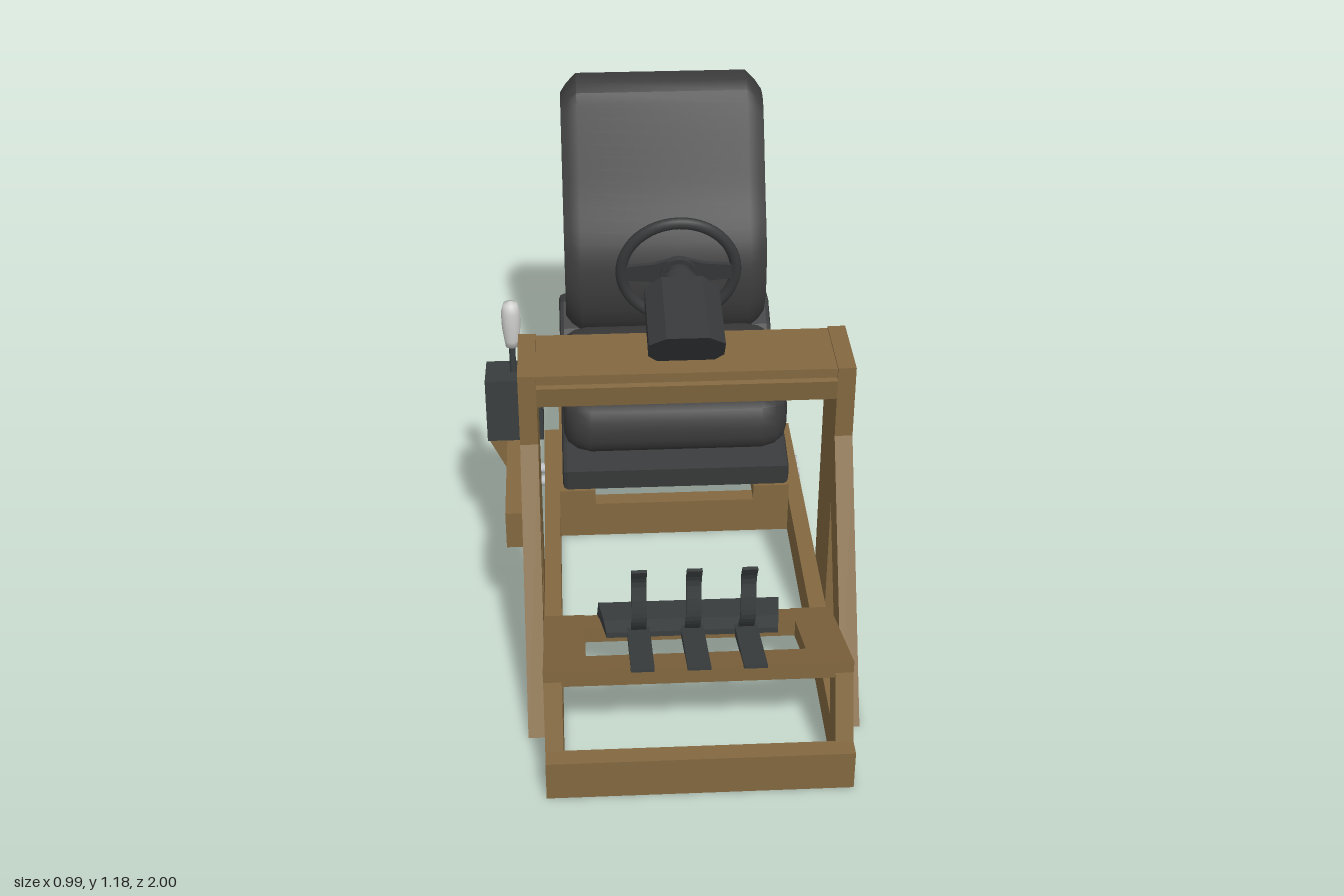
import * as THREE from 'three';
import { toCreasedNormals } from 'three/addons/utils/BufferGeometryUtils.js';

const mat = (name, color) => {
  const m = new THREE.MeshStandardMaterial({ color });
  m.name = name;
  return m;
};

export function createModel() {
  const wood = mat('wood', 0x836840);
  const fabric = mat('seat fabric', 0x3b3b3b);
  const plastic = mat('dark plastic', 0x38393a);
  const metal = mat('dark metal', 0x3b3f40);
  const knobMat = mat('pale knob', 0xcfcfcd);
  const steel = mat('bolt steel', 0xb8bcc0);
  const root = new THREE.Group();
  const CX = 0.05; // centre line of the rig

  const add = (name, geo, m, parent = root) => {
    const mesh = new THREE.Mesh(geo, m);
    mesh.name = name;
    parent.add(mesh);
    return mesh;
  };
  // box from its limits
  const box = (name, m, x0, x1, y0, y1, z0, z1) => {
    const mesh = add(name, new THREE.BoxGeometry(x1 - x0, y1 - y0, z1 - z0), m);
    mesh.position.set((x0 + x1) / 2, (y0 + y1) / 2, (z0 + z1) / 2);
    return mesh;
  };
  // side profile of [z, y] points, extruded along x
  const prismGeo = (pts, x0, x1, bevel = 0) => {
    const shape = new THREE.Shape(pts.map(([z, y]) => new THREE.Vector2(-z, y)));
    const geo = new THREE.ExtrudeGeometry(shape, {
      depth: x1 - x0 - 2 * bevel, bevelEnabled: bevel > 0, bevelSize: bevel,
      bevelThickness: bevel, bevelOffset: -bevel, bevelSegments: 2,
    });
    return geo.rotateY(Math.PI / 2).translate(x0 + bevel, 0, 0);
  };
  const prism = (name, m, pts, x0, x1, bevel) => add(name, prismGeo(pts, x0, x1, bevel), m);
  // padded shape: smooth [z, y] loop, scaled about its centre at each [x, scale] section
  const padding = (name, pts, sections, n = 48) => {
    const loop = new THREE.CatmullRomCurve3(
      pts.map(([z, y]) => new THREE.Vector3(0, y, z)), true, 'centripetal').getSpacedPoints(n).slice(0, n);
    const c = loop.reduce((s, p) => s.add(p), new THREE.Vector3()).divideScalar(n);
    const pos = [], idx = [];
    sections.forEach(([x, s]) => loop.forEach((p) =>
      pos.push(x, c.y + (p.y - c.y) * s, c.z + (p.z - c.z) * s)));
    for (let i = 0; i < sections.length - 1; i++) {
      for (let j = 0; j < n; j++) {
        const a = i * n + j, b = i * n + (j + 1) % n;
        idx.push(a, a + n, b, b, a + n, b + n);
      }
    }
    // keep the faces pointing outward whichever way the loop runs
    const area = loop.reduce((s, p, i) => {
      const q = loop[(i + 1) % n];
      return s + p.y * q.z - q.y * p.z;
    }, 0);
    if (area > 0) for (let i = 0; i < idx.length; i += 3) [idx[i + 1], idx[i + 2]] = [idx[i + 2], idx[i + 1]];
    const geo = new THREE.BufferGeometry();
    geo.setAttribute('position', new THREE.Float32BufferAttribute(pos, 3));
    geo.setIndex(idx);
    return add(name, toCreasedNormals(geo, 0.6), fabric);
  };
  // run fn for both sides with limits mirrored about the centre line
  const bothSides = (x0, x1, fn) => {
    fn(CX - x1, CX - x0, 'right', -1);
    fn(CX + x0, CX + x1, 'left', 1);
  };

  // base frame
  bothSides(0.348, 0.395, (a, b, s) => box(s + 'Rail', wood, a, b, 0, 0.115, -0.565, 0.95));
  box('frontBoard', wood, -0.345, 0.445, 0, 0.115, 0.95, 1);

  // seat frame inside the rails
  bothSides(0.3, 0.348, (a, b, s) => box(s + 'SeatRail', wood, a, b, 0, 0.115, -0.775, -0.14));
  box('seatFrameRear', wood, -0.298, 0.398, 0, 0.115, -0.825, -0.775);
  box('seatFrameFront', wood, -0.25, 0.35, 0, 0.115, -0.19, -0.14);
  bothSides(0.24, 0.348, (a, b, s) => box(s + 'SeatPlank', wood, a, b, 0.115, 0.165, -0.825, -0.14));

  // bolts joining the two frames
  bothSides(0.395, 0.41, (a, b, s) => {
    for (const z of [-0.365, -0.435]) {
      const bolt = add(s + 'Bolt', new THREE.CylinderGeometry(0.017, 0.017, b - a, 12), steel);
      bolt.rotation.z = Math.PI / 2;
      bolt.position.set((a + b) / 2, 0.055, z);
    }
  });

  // wheel stand: double uprights, diagonal braces and cross boards
  bothSides(0.395, 0.443, (a, b, s) => {
    box(s + 'UprightFront', wood, a, b, 0, 0.885, 0.265, 0.377);
    box(s + 'UprightRear', wood, a, b, 0, 0.885, 0.153, 0.265);
    prism(s + 'Brace', wood, [[0.77, 0], [0.645, 0], [0.377, 0.46], [0.377, 0.675]], a, b);
  });
  box('wheelDeck', wood, -0.345, 0.445, 0.838, 0.88, 0.155, 0.37);
  prism('wheelDeckFront', wood, [[0.33, 0.79], [0.375, 0.79], [0.385, 0.85], [0.34, 0.86]], -0.345, 0.445);

  // sloping pedal deck on two legs
  const deckY = (z) => 0.325 - (0.89 - z) * 0.37;
  const slab = (z0, z1) => [[z0, deckY(z0)], [z1, deckY(z1)], [z1 + 0.015, deckY(z1) - 0.05], [z0 - 0.015, deckY(z0) - 0.05]];
  const beam = (z0, z1) => [[z0, deckY(z0)], [z1, deckY(z1)], [z1, deckY(z1) - 0.05], [z0, deckY(z0) - 0.05]];
  prism('pedalDeckFront', wood, beam(0.89, 0.785), -0.345, 0.445);
  prism('pedalDeckRear', wood, beam(0.57, 0.47), -0.235, 0.335);
  bothSides(0.285, 0.395, (a, b, s) => prism(s + 'PedalDeckSide', wood, slab(0.80, 0.465), a, b));
  bothSides(0.348, 0.395, (a, b, s) =>
    prism(s + 'PedalLeg', wood, [[0.955, 0.115], [0.85, 0.115], [0.80, 0.25], [0.89, 0.29]], a, b));

  // pedal base, narrower toward the front
  const baseGeo = prismGeo([[0.655, 0.255], [0.6, 0.253], [0.49, 0.228], [0.46, 0.165], [0.475, 0.16], [0.51, 0.19], [0.655, 0.238]], -0.25, 0.25);
  const bp = baseGeo.attributes.position;
  for (let i = 0; i < bp.count; i++) bp.setX(i, CX + bp.getX(i) * (1 - (bp.getZ(i) - 0.46) * 0.45));
  baseGeo.computeVertexNormals();
  add('pedalBase', baseGeo, metal);

  // three pedals: heel strip and curved arm
  const armLine = new THREE.CatmullRomCurve3([[0.62, 0.235], [0.655, 0.27], [0.685, 0.32], [0.687, 0.38], [0.68, 0.44], [0.71, 0.495]]
    .map(([z, y]) => new THREE.Vector3(0, y, z))).getPoints(16);
  const arm = [...armLine.map((p) => [p.z + 0.006, p.y]), ...armLine.reverse().map((p) => [p.z - 0.007, p.y])];
  for (const x of [-0.093, 0.05, 0.193]) {
    prism('heelStrip', metal, [[0.905, 0.337], [0.905, 0.327], [0.62, 0.22], [0.62, 0.25]], x - 0.03, x + 0.03);
    prism('pedalArm', metal, arm, x - 0.02, x + 0.02);
  }

  // seat: slides, pan, shell, cushion and backrest
  bothSides(0.22, 0.27, (a, b, s) =>
    prism(s + 'Slide', metal, [[-0.17, 0.165], [-0.19, 0.2], [-0.76, 0.2], [-0.79, 0.165]], a, b));
  box('seatPan', metal, -0.2, 0.3, 0.175, 0.23, -0.72, -0.2);
  prism('seatShell', plastic, [[-0.07, 0.22], [-0.065, 0.285], [-0.18, 0.315], [-0.5, 0.335], [-0.6, 0.4], [-0.65, 0.44],
    [-0.74, 0.49], [-0.8, 0.485], [-0.82, 0.43], [-0.765, 0.25], [-0.72, 0.2], [-0.34, 0.2]], -0.287, 0.387, 0.014);
  padding('cushion', [[-0.03, 0.44], [-0.055, 0.5], [-0.14, 0.525], [-0.26, 0.537], [-0.47, 0.505], [-0.64, 0.45], [-0.7, 0.38],
    [-0.5, 0.33], [-0.28, 0.33], [-0.08, 0.35], [-0.04, 0.38]],
  [[-0.28, 0], [-0.28, 0.72], [-0.268, 0.85], [-0.24, 0.95], [-0.2, 1], [0.3, 1], [0.34, 0.95], [0.368, 0.85], [0.38, 0.72], [0.38, 0]]);
  padding('backrest', [[-0.66, 0.42], [-0.598, 0.53], [-0.61, 0.7], [-0.72, 0.89], [-0.85, 1.12], [-0.88, 1.16], [-0.93, 1.175],
    [-0.99, 1.165], [-0.998, 1.11], [-0.97, 0.89], [-0.88, 0.64], [-0.81, 0.45], [-0.75, 0.4]],
  [[-0.265, 0], [-0.265, 0.86], [-0.245, 0.93], [-0.215, 1], [0.315, 1], [0.345, 0.93], [0.365, 0.86], [0.365, 0]]);

  // steering motor housing
  const housing = new THREE.Shape([[-0.1, 0.05], [-0.1, 0.11], [-0.055, 0.145], [0.055, 0.145], [0.1, 0.11], [0.1, 0.05], [0.07, 0.012], [-0.07, 0.012]]
    .map(([x, y]) => new THREE.Vector2(x, y)));
  const hGeo = new THREE.ExtrudeGeometry(housing, { depth: 0.27, bevelEnabled: false });
  const hp = hGeo.attributes.position;
  // front end leans forward at the top
  for (let i = 0; i < hp.count; i++) if (hp.getZ(i) > 0.2) hp.setZ(i, 0.19 + hp.getY(i) * 0.5);
  hGeo.computeVertexNormals();
  const motor = add('motorHousing', hGeo, plastic);
  motor.rotation.x = 0.16;
  motor.position.set(CX, 0.892, 0.105);

  // steering wheel
  const wheel = new THREE.Group();
  wheel.name = 'steeringWheel';
  wheel.position.set(CX, 0.975, -0.02);
  wheel.rotation.x = 0.15;
  root.add(wheel);
  add('rim', new THREE.TorusGeometry(0.158, 0.016, 10, 48), plastic, wheel);
  const cyl = (name, r0, r1, z0, z1) => {
    const c = add(name, new THREE.CylinderGeometry(r1, r0, z1 - z0, 24), plastic, wheel);
    c.rotation.x = Math.PI / 2;
    c.position.z = (z0 + z1) / 2;
  };
  cyl('hub', 0.05, 0.05, 0, 0.02);
  cyl('hubCollar', 0.036, 0.045, 0.02, 0.06);
  cyl('shaft', 0.052, 0.052, 0.06, 0.1);
  cyl('shaftRoot', 0.04, 0.04, 0.1, 0.15);
  for (const angle of [0, Math.PI, -Math.PI / 2]) {
    const spoke = new THREE.Shape([[0.02, -0.045], [0.07, -0.03], [0.155, -0.022], [0.155, 0.022], [0.07, 0.03], [0.02, 0.045]]
      .map(([x, y]) => new THREE.Vector2(x, y)));
    const mesh = add('spoke', new THREE.ExtrudeGeometry(spoke, { depth: 0.012, bevelEnabled: false }), plastic, wheel);
    mesh.rotation.z = angle;
  }

  // shifter on its wooden arm
  box('shifterArm', wood, -0.442, -0.395, 0.34, 0.452, -0.13, 0.375);
  const gusset = new THREE.Shape([[-0.495, 0.465], [-0.495, 0.452], [-0.442, 0.34], [-0.395, 0.34], [-0.395, 0.465]]
    .map(([x, y]) => new THREE.Vector2(x, y)));
  add('shifterGusset', new THREE.ExtrudeGeometry(gusset, { depth: 0.12, bevelEnabled: false }), wood).position.z = -0.12;
  prism('shifterBox', metal, [[0.022, 0.46], [0.022, 0.658], [-0.135, 0.632], [-0.135, 0.46]], -0.497, -0.337);
  const stick = add('shifterStick', new THREE.CylinderGeometry(0.009, 0.009, 0.12, 12), metal);
  stick.position.set(-0.418, 0.68, -0.055);
  const knob = [[0, 0], [0.018, 0], [0.021, 0.02], [0.026, 0.06], [0.027, 0.11], [0.02, 0.135], [0, 0.143]].map(([r, y]) => new THREE.Vector2(r, y));
  add('shifterKnob', new THREE.LatheGeometry(knob, 20), knobMat).position.set(-0.418, 0.73, -0.055);

  return root;
}
